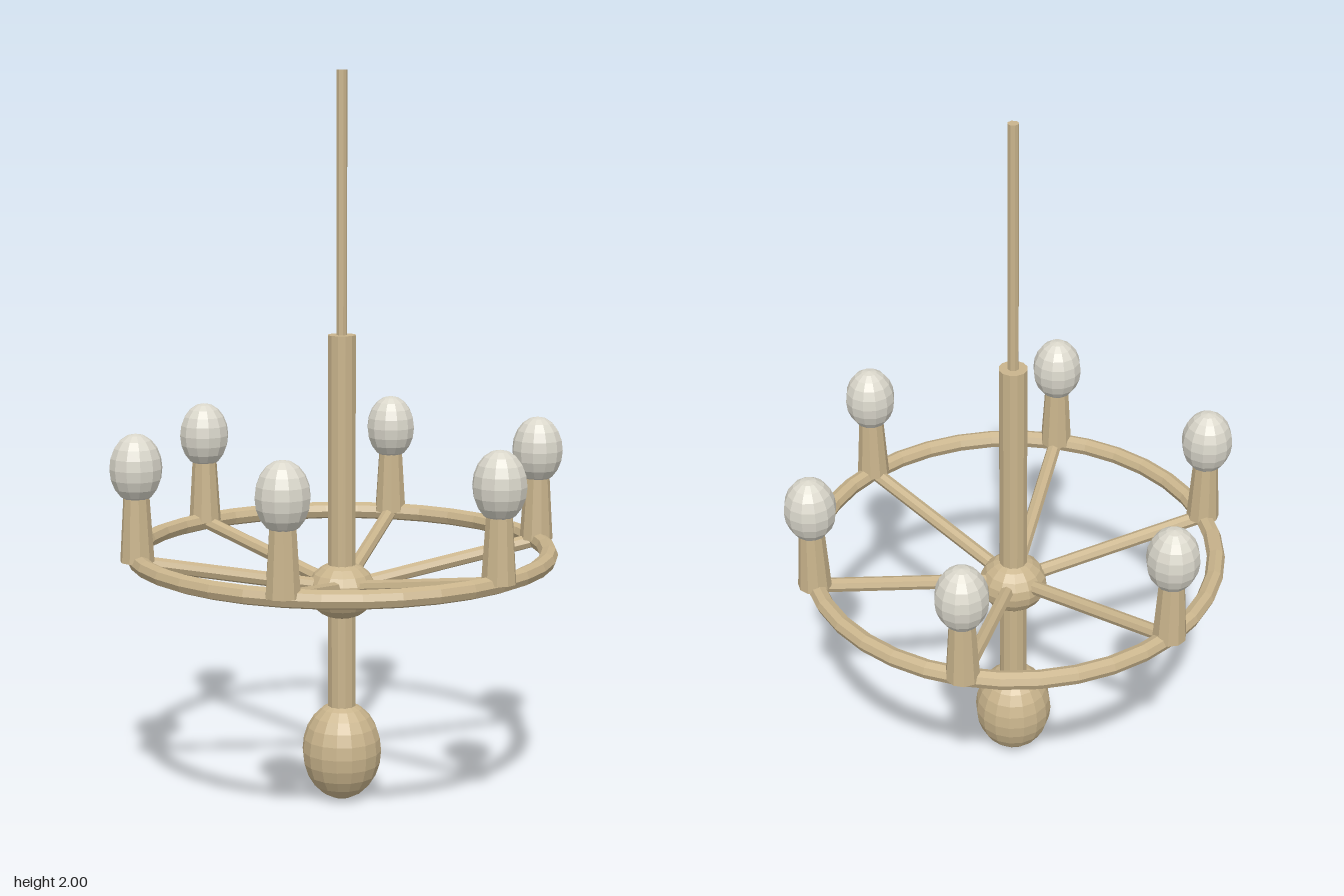
import * as THREE from 'three';

export function createModel() {
  const group = new THREE.Group();
  const brass = new THREE.MeshStandardMaterial({ name: 'brass', color: 0xc9b48c, flatShading: true });
  const glass = new THREE.MeshStandardMaterial({ name: 'frosted glass', color: 0xdad7cb, flatShading: true });

  function add(name, geometry, material, x, y, z, parent = group) {
    const mesh = new THREE.Mesh(geometry, material);
    mesh.name = name;
    mesh.position.set(x, y, z);
    parent.add(mesh);
    return mesh;
  }
  const ellipsoid = (rx, ry, w, h) => new THREE.SphereGeometry(rx, w, h).scale(1, ry / rx, 1);

  // Central stem, from the hanging rod down to the finial
  add('hangingRod', new THREE.CylinderGeometry(0.015, 0.015, 0.72, 8), brass, 0, 1.64, 0);
  add('column', new THREE.CylinderGeometry(0.039, 0.039, 1.15, 12), brass, 0, 0.723, 0);
  add('hub', ellipsoid(0.095, 0.08, 14, 10), brass, 0, 0.595, 0);
  add('finial', ellipsoid(0.11, 0.138, 16, 12), brass, 0, 0.14, 0);

  // Horizontal ring
  const ringRadius = 0.564, ringY = 0.705;
  const ring = new THREE.TorusGeometry(ringRadius, 0.025, 8, 36).rotateX(Math.PI / 2);
  add('ring', ring, brass, 0, ringY, 0);

  // Six arms, each carrying a candle cup and a bulb
  const start = new THREE.Vector3(0.03, 0.605, 0);
  const end = new THREE.Vector3(ringRadius, ringY, 0);
  const direction = end.clone().sub(start);
  const armGeometry = new THREE.CylinderGeometry(0.02, 0.02, direction.length(), 8);
  const cupGeometry = new THREE.CylinderGeometry(0.034, 0.046, 0.19, 10);
  const bulbGeometry = ellipsoid(0.071, 0.093, 12, 10);
  for (let i = 0; i < 6; i++) {
    const branch = new THREE.Group();
    branch.name = 'branch' + (i + 1);
    branch.rotation.y = (i * Math.PI) / 3;
    group.add(branch);
    const middle = start.clone().add(end).multiplyScalar(0.5);
    const arm = add('arm', armGeometry, brass, middle.x, middle.y, 0, branch);
    arm.quaternion.setFromUnitVectors(new THREE.Vector3(0, 1, 0), direction.clone().normalize());
    add('candleCup', cupGeometry, brass, ringRadius, 0.803, 0, branch);
    add('bulb', bulbGeometry, glass, ringRadius, 0.96, 0, branch);
  }
  return group;
}
